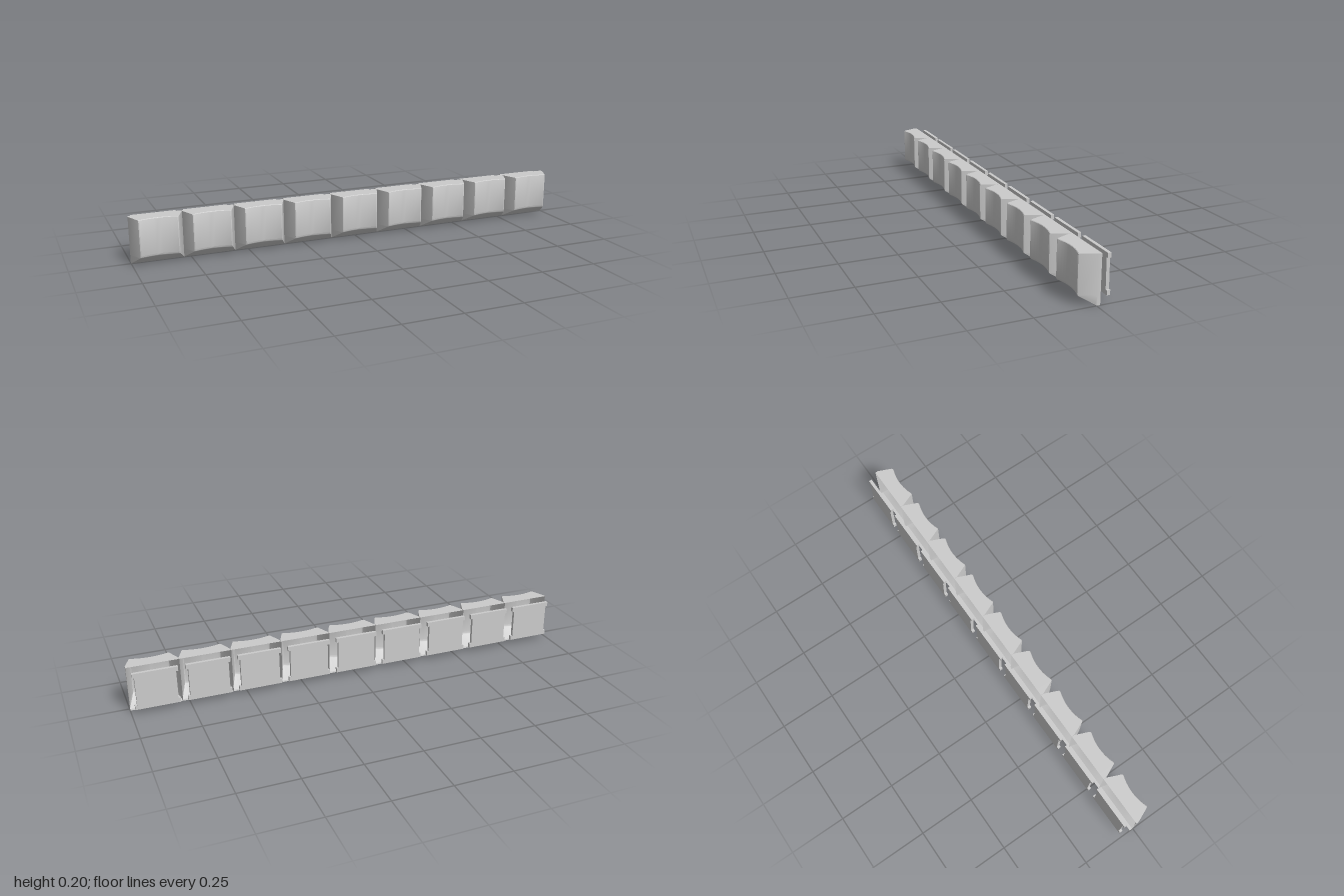
import * as THREE from 'three';
import { toCreasedNormals } from 'three/addons/utils/BufferGeometryUtils.js';

const COUNT = 9, PITCH = 2 / COUNT;
const BACK = -0.015, RIM = -0.002, DEPTH = 0.067;
const material = new THREE.MeshStandardMaterial({ color: 0xcccccc, side: THREE.DoubleSide });

// One level of the cap, left to right: flared sides and a dished face.
// depth 0..1 says how far the level reaches from the rim to the face.
function level(y, depth) {
  const half = 0.1105 - 0.029 * depth;
  const z = RIM + DEPTH * depth;
  const row = [[-0.1105, BACK], [-0.1105, RIM], [-half - 0.003 * depth, z - 0.006 * depth], [-half, z - 0.001 * depth]];
  for (let i = 0; i <= 10; i++) {
    const u = -1 + i / 5;
    row.push([u * (half - 0.004), z - 0.014 * depth * (1 - u * u)]);
  }
  row.push([half, z - 0.001 * depth], [half + 0.003 * depth, z - 0.006 * depth], [0.1105, RIM], [0.1105, BACK]);
  return row.map(([x, zz]) => [x, y, zz]);
}

// Hollow cap lofted through its levels, open at the back
function capGeometry() {
  const flatten = (row) => row.map(([x, y]) => [x, y, BACK]);
  const bottom = level(0, 0);
  const top = level(0.2, 0.94);
  const rows = [
    flatten(bottom), bottom, level(0.004, 0.1), level(0.037, 0.93), level(0.041, 0.98),
    level(0.047, 1), level(0.194, 1), level(0.198, 0.98), top, flatten(top),
  ];
  const n = bottom.length, index = [];
  for (let r = 0; r < rows.length - 1; r++) {
    for (let i = 0; i < n - 1; i++) {
      const a = r * n + i, b = a + 1, c = a + n, d = c + 1;
      index.push(a, b, d, a, d, c);
    }
  }
  const geometry = new THREE.BufferGeometry();
  geometry.setAttribute('position', new THREE.Float32BufferAttribute(rows.flat(2), 3));
  geometry.setIndex(index);
  return toCreasedNormals(geometry, 0.5);
}

// Thin plate with a shallow recess along each side, leaving corner tabs
function plateGeometry() {
  const w = 0.095, inner = 0.086, y0 = 0.025, y1 = 0.19, a = 0.045, b = 0.17;
  const right = [[w, y0], [w, a], [inner, a], [inner, b], [w, b], [w, y1]];
  const left = right.map(([x, y]) => [-x, y]).reverse();
  const shape = new THREE.Shape([...right, ...left].map(([x, y]) => new THREE.Vector2(x, y)));
  const geometry = new THREE.ExtrudeGeometry(shape, { depth: 0.014, bevelEnabled: false });
  // slight lean: the top edge sits a little further forward
  const p = geometry.attributes.position;
  for (let i = 0; i < p.count; i++) p.setZ(i, p.getZ(i) - 0.064 + 0.002 * (p.getY(i) - y0) / (y1 - y0));
  geometry.computeVertexNormals();
  return geometry;
}

export function createModel() {
  const group = new THREE.Group();
  group.name = 'keyRow';
  const cap = capGeometry(), plate = plateGeometry();
  for (let i = 0; i < COUNT; i++) {
    const key = new THREE.Group();
    key.name = `key${i + 1}`;
    key.position.x = (i - (COUNT - 1) / 2) * PITCH;
    const capMesh = new THREE.Mesh(cap, material);
    capMesh.name = 'keyCap';
    const plateMesh = new THREE.Mesh(plate, material);
    plateMesh.name = 'backPlate';
    key.add(capMesh, plateMesh);
    group.add(key);
  }
  return group;
}
